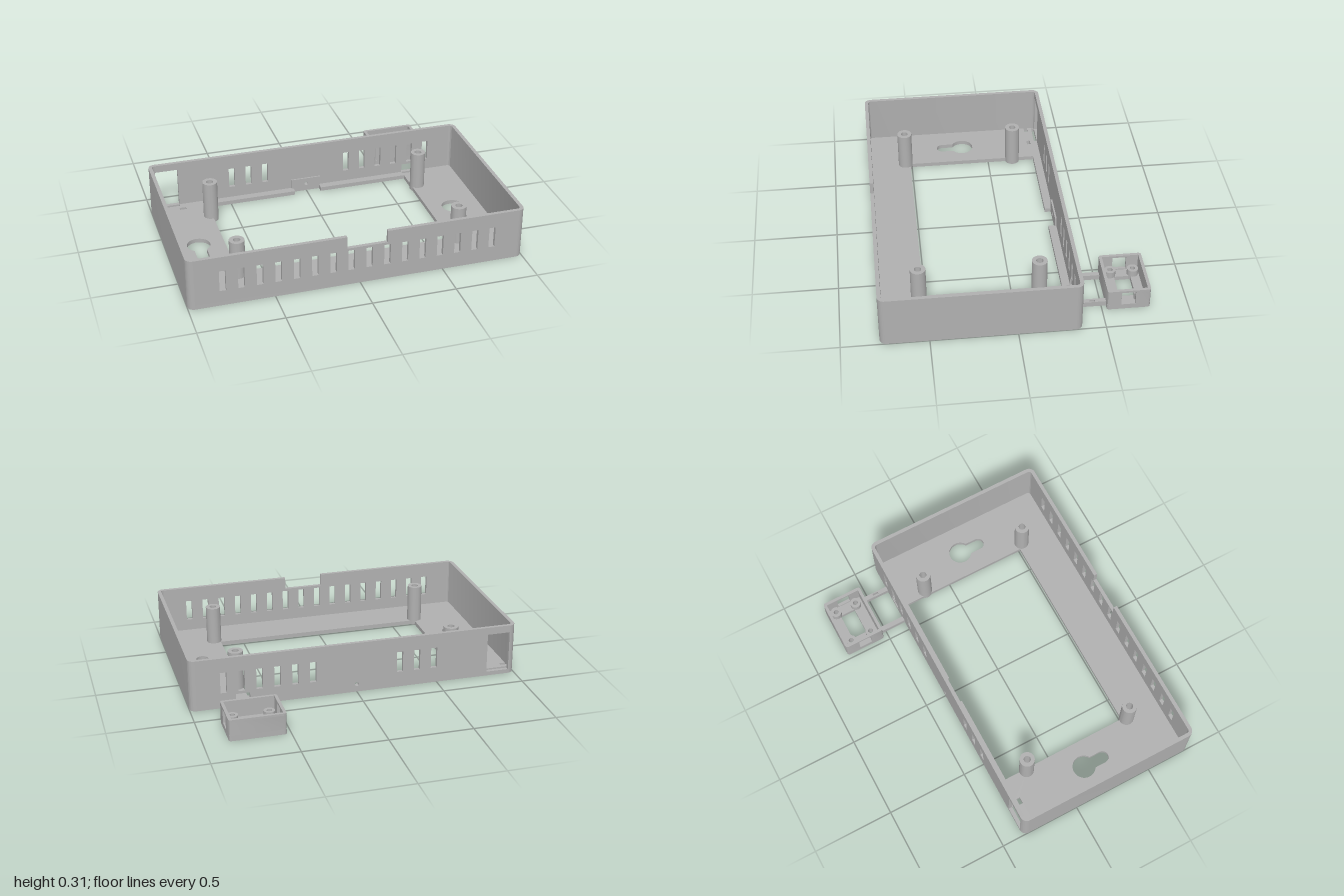
import * as THREE from 'three';
import { toCreasedNormals } from 'three/addons/utils/BufferGeometryUtils.js';

const grey = new THREE.MeshStandardMaterial({ color: 0xb0b0b0 });
grey.name = 'plastic grey';

const H = 0.315, FLOOR = 0.025, WALL = 0.022, R = 0.04;
const BACK = -0.367, FRONT = 0.78;

// Closed outline from [x, y] points
const poly = (pts, Type = THREE.Path) => new Type(pts.map(([x, y]) => new THREE.Vector2(x, y)));
const rect = (x0, x1, y0, y1, Type) => poly([[x0, y0], [x1, y0], [x1, y1], [x0, y1]], Type);
// Plan rectangle: plan shapes use y = -z
const planRect = (x0, x1, z0, z1, Type) => rect(x0, x1, -z1, -z0, Type);
const circle = (x, y, r, Type = THREE.Path) => new Type().absarc(x, y, r, 0, Math.PI * 2, false);

function roundRect(x0, x1, z0, z1, r, Type = THREE.Shape) {
  const p = new Type(), q = Math.PI / 2;
  p.absarc(x1 - r, -z0 - r, r, 0, q, false);
  p.absarc(x0 + r, -z0 - r, r, q, 2 * q, false);
  p.absarc(x0 + r, -z1 + r, r, 2 * q, 3 * q, false);
  p.absarc(x1 - r, -z1 + r, r, 3 * q, 4 * q, false);
  p.closePath();
  return p;
}

function keyhole(x, z, r, w, zEnd) {
  const a = Math.asin(w / r), p = new THREE.Path();
  p.absarc(x, -z, r, -Math.PI / 2 + a, Math.PI * 1.5 - a, false);
  p.absarc(x, -zEnd + w, w, Math.PI, Math.PI * 2, false);
  p.closePath();
  return p;
}

function extrude(shape, depth) {
  const geo = new THREE.ExtrudeGeometry(shape, { depth, bevelEnabled: false, curveSegments: 16 });
  return toCreasedNormals(geo, 0.6);
}

export function createModel() {
  const model = new THREE.Group();
  const add = (name, geo) => {
    const m = new THREE.Mesh(geo, grey);
    m.name = name;
    model.add(m);
  };
  // Plan shape raised from y0 to y1
  const plan = (name, shape, y0, y1) =>
    add(name, extrude(shape, y1 - y0).rotateX(-Math.PI / 2).translate(0, y0, 0));
  // Upright panel starting at z and running toward +z
  const panel = (name, shape, z, depth) => add(name, extrude(shape, depth).translate(0, 0, z));
  const post = (name, x, z, r, hole, y1) => {
    const s = circle(x, -z, r, THREE.Shape);
    s.holes.push(circle(x, -z, hole));
    plan(name, s, 0, y1);
  };

  const standoffs = [[-0.66, -0.158], [0.684, -0.158], [-0.66, 0.54], [0.684, 0.54]];

  // Floor with main opening, keyholes and small slots
  const floor = roundRect(-1, 1, BACK, FRONT, R);
  const opening = new THREE.Path();
  opening.moveTo(-0.652, -0.51);
  opening.lineTo(0.647, -0.51);
  opening.lineTo(0.647, 0.297);
  opening.lineTo(0.085, 0.297);
  opening.lineTo(0.085, 0.335);
  opening.lineTo(-0.085, 0.335);
  opening.lineTo(-0.085, 0.297);
  opening.lineTo(-0.652, 0.297);
  const a = Math.acos(0.008 / 0.021);
  opening.absarc(-0.66, 0.158, 0.021, a, Math.PI * 2 - a, false);
  opening.closePath();
  floor.holes.push(
    opening,
    keyhole(-0.807, 0.16, 0.07, 0.037, 0.325),
    keyhole(0.807, 0.16, 0.07, 0.037, 0.325),
    planRect(-0.97, -0.82, -0.344, -0.325),
    planRect(0.645, 0.73, -0.344, -0.325),
    planRect(-0.98, -0.94, -0.298, -0.275),
    planRect(-0.83, -0.79, -0.298, -0.275),
    ...standoffs.slice(1).map(([x, z]) => circle(x, -z, 0.021)));
  plan('floor', floor, 0, FLOOR);

  // End walls with rounded corners
  const q = Math.PI / 2, r = R - WALL, xc = 1 - R;
  const end = new THREE.Shape();
  end.absarc(xc, -FRONT + R, R, -q, 0, false);
  end.absarc(xc, -BACK - R, R, 0, q, false);
  end.absarc(xc, -BACK - R, r, q, 0, true);
  end.absarc(xc, -FRONT + R, r, 0, -q, true);
  end.closePath();
  plan('leftWall', end, FLOOR, H);
  const mirrored = new THREE.Shape(end.getPoints(16).map(p => new THREE.Vector2(-p.x, p.y)));
  plan('rightWall', mirrored, FLOOR, H);

  // Vent slots shared by the front and back walls
  const vent = i => {
    const x = -0.8 + i * 1.6 / 15;
    return rect(x - 0.019, x + 0.019, 0.096, 0.225);
  };

  // Front wall with a notch in the rim
  const front = poly([[-xc, FLOOR], [xc, FLOOR], [xc, H], [0.16, H], [0.16, 0.24],
    [-0.08, 0.24], [-0.08, H], [-xc, H]], THREE.Shape);
  for (let i = 0; i < 16; i++) front.holes.push(vent(i));
  panel('frontWall', front, FRONT - WALL, WALL);

  // Back wall with a tall port at one end and a cable port at the other
  const back = poly([[-0.82, FLOOR], [0.645, FLOOR], [0.645, 0.08], [0.73, 0.08], [0.73, FLOOR],
    [xc, FLOOR], [xc, H], [-xc, H], [-xc, 0.27], [-0.82, 0.27]], THREE.Shape);
  for (const i of [3, 4, 5, 10, 11, 12, 13, 14, 15]) back.holes.push(vent(i));
  back.holes.push(circle(0, 0.048, 0.013));
  panel('backWall', back, BACK, WALL);

  // Small reinforcing plate behind the screw hole
  const plate = rect(-0.097, 0.092, 0.005, 0.085, THREE.Shape);
  plate.holes.push(circle(0, 0.048, 0.013));
  panel('screwPlate', plate, BACK + WALL, 0.01);

  // Board standoffs
  for (const [x, z] of standoffs) post('standoff', x, z, 0.045, 0.021, 0.26);

  // Small sensor tray behind the case
  const X0 = 0.525, X1 = 0.855, Z0 = -0.78, Z1 = -0.528, T = 0.018, TOP = 0.13;
  const bosses = [];
  for (const x of [0.583, 0.797]) for (const z of [-0.725, -0.59]) bosses.push([x, z]);
  const trayFloor = roundRect(X0, X1, Z0, Z1, 0.015);
  trayFloor.holes.push(planRect(0.605, 0.775, -0.708, -0.612),
    ...bosses.map(([x, z]) => circle(x, -z, 0.015)));
  plan('trayFloor', trayFloor, 0, FLOOR);
  for (const [x, z] of bosses) post('trayBoss', x, z, 0.033, 0.015, 0.065);

  // Tray walls in three layers: ring, walls split by side windows, ring
  const ring = roundRect(X0, X1, Z0, Z1, 0.015);
  ring.holes.push(planRect(X0 + T, X1 - T, Z0 + T, Z1 - T));
  plan('trayLowerWall', ring, FLOOR, 0.032);
  plan('trayRim', ring, 0.117, TOP);
  const uBack = poly([[X0, 0.692], [X0 + T, 0.692], [X0 + T, -Z0 - T], [X1 - T, -Z0 - T],
    [X1 - T, 0.692], [X1, 0.692], [X1, -Z0 - 0.015], [X1 - 0.005, -Z0 - 0.005], [X1 - 0.015, -Z0],
    [X0 + 0.015, -Z0], [X0 + 0.005, -Z0 - 0.005], [X0, -Z0 - 0.015]], THREE.Shape);
  plan('trayBackWall', uBack, 0.032, 0.117);
  const uFront = poly([[X0, 0.61], [X0, -Z1 + 0.015], [X0 + 0.005, -Z1 + 0.005], [X0 + 0.015, -Z1],
    [X1 - 0.015, -Z1], [X1 - 0.005, -Z1 + 0.005], [X1, -Z1 + 0.015], [X1, 0.61], [X1 - T, 0.61],
    [X1 - T, -Z1 + T], [X0 + T, -Z1 + T], [X0 + T, 0.61]], THREE.Shape);
  plan('trayFrontWall', uFront, 0.032, 0.117);

  // Two thin arms joining tray and case
  plan('trayArm', planRect(0.557, 0.587, Z1, BACK, THREE.Shape), 0, 0.032);
  const arm = planRect(0.789, 0.818, Z1, BACK, THREE.Shape);
  arm.holes.push(planRect(0.8, 0.812, -0.465, -0.43));
  plan('trayArm', arm, 0, 0.032);

  return model;
}
